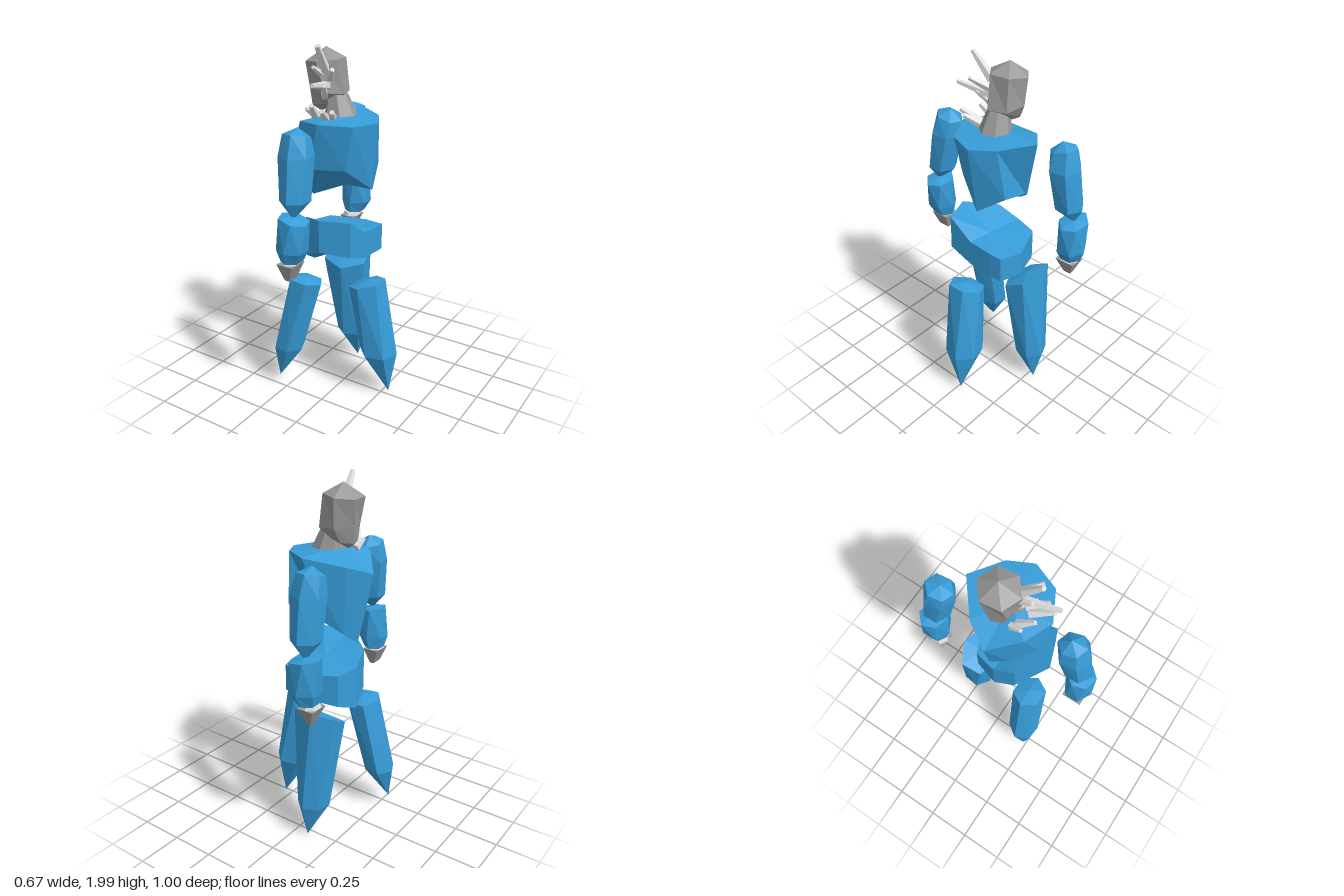
import * as THREE from 'three';

const flat = (name, color) => {
  const m = new THREE.MeshStandardMaterial({ color, flatShading: true });
  m.name = name;
  return m;
};

// Faceted solid: rings run top to bottom, each ordered from +x towards +z, closed by two centre points
function loft(rings, top, bottom) {
  const pos = [];
  const n = rings[0].length;
  const tri = (...pts) => pts.forEach((p) => pos.push(...p));
  for (let k = 0; k < n; k++) {
    const m = (k + 1) % n;
    tri(top, rings[0][m], rings[0][k]);
    for (let r = 0; r + 1 < rings.length; r++) {
      const a = rings[r], b = rings[r + 1];
      tri(a[k], a[m], b[k]);
      tri(a[m], b[m], b[k]);
    }
    const last = rings[rings.length - 1];
    tri(bottom, last[k], last[m]);
  }
  const g = new THREE.BufferGeometry();
  g.setAttribute('position', new THREE.Float32BufferAttribute(pos, 3));
  g.computeVertexNormals();
  return g;
}

// Regular ring with optional tilt of its height along x and z
function ring(n, [x, y, z], rx, rz, phase = 0, tiltX = 0, tiltZ = 0) {
  return Array.from({ length: n }, (_, i) => {
    const a = phase + (i / n) * Math.PI * 2;
    const dx = Math.cos(a) * rx, dz = Math.sin(a) * rz;
    return [x + dx, y + dx * tiltX + dz * tiltZ, z + dz];
  });
}

export function createModel() {
  const model = new THREE.Group();
  model.name = 'floatingGolem';
  const blue = flat('blueStone', 0x379dd9);
  const grey = flat('greyStone', 0x9b9a9a);
  const pale = flat('paleCrystal', 0xe0e0e0);
  const add = (name, geometry, material) => {
    const mesh = new THREE.Mesh(geometry, material);
    mesh.name = name;
    model.add(mesh);
    return mesh;
  };

  // Chest: irregular eight-sided block with a hollowed underside
  const chestTop = [
    [0.19, 1.6, -0.02], [0.13, 1.6, 0.13], [-0.03, 1.61, 0.215], [-0.18, 1.6, 0.15],
    [-0.3, 1.52, 0], [-0.22, 1.57, -0.13], [-0.05, 1.62, -0.265], [0.12, 1.61, -0.15],
  ];
  const chestBottom = [
    [0.15, 1.23, -0.04], [0.08, 1.36, 0.12], [-0.1, 1.36, 0.19], [-0.2, 1.25, 0.08],
    [-0.23, 1.14, -0.03], [-0.19, 1.2, -0.1], [-0.09, 1.28, -0.17], [0.1, 1.34, -0.19],
  ];
  add('chest', loft([chestTop, chestBottom], [-0.06, 1.63, 0], [0, 1.24, -0.02]), blue);

  // Pelvis: saddle-shaped block, columns as x, z, top y, bottom y
  const columns = [
    [0.14, 0.02, 1.0, 0.85], [0.14, 0.165, 1.1, 0.9], [-0.02, 0.225, 1.1, 0.92],
    [-0.19, 0.1, 1.05, 0.82], [-0.22, -0.02, 0.99, 0.75], [-0.19, -0.15, 0.98, 0.8],
    [0, -0.225, 0.97, 0.83], [0.13, -0.19, 0.98, 0.83], [0.14, -0.12, 0.99, 0.84],
  ];
  add('pelvis', loft(
    [columns.map(([x, z, t]) => [x, t, z]), columns.map(([x, z, , b]) => [x, b, z])],
    [0, 1.0, 0], [-0.02, 0.85, -0.01],
  ), blue);

  // Three spindle legs: top ring, thick lower ring, pointed foot
  const legs = [
    { name: 'leftLeg', top: [0.165, 0.71, 0.03], low: [0.23, 0.28, 0], tip: [0.29, 0.02, -0.02],
      rx: 0.1, rz: 0.105, rl: 0.108, phase: 0.55, twist: 0.25, tx: 0.3, tz: 0 },
    { name: 'rightLeg', top: [-0.145, 0.71, 0.175], low: [-0.25, 0.27, 0.205], tip: [-0.3, 0.07, 0.24],
      rx: 0.1, rz: 0.095, rl: 0.09, phase: 0.0, twist: 0.1, tx: -0.1, tz: 0.15 },
    { name: 'backLeg', top: [-0.1, 0.745, -0.19], low: [-0.095, 0.21, -0.245], tip: [-0.08, 0.01, -0.285],
      rx: 0.15, rz: 0.11, rl: 0.092, phase: 0.4, twist: 0.25, tx: 0, tz: -0.5 },
  ];
  for (const { name, top, low, tip, rx, rz, rl, phase, twist, tx, tz } of legs) {
    const cap = [top[0], top[1] + 0.02, top[2]];
    const rings = [ring(6, top, rx, rz, phase, tx, tz), ring(6, low, rl, rl, phase + twist)];
    add(name, loft(rings, cap, tip), blue);
  }

  // Arms: upper spindle, forearm block and wedge hand, one on each end of z
  const arms = [
    { name: 'front', s: 1, ux: -0.06, ex: -0.035, wx: -0.05, rf: 0.085,
      hand: [-0.065, 0.925, 0.42], handDepth: 0.05 },
    { name: 'back', s: -1, ux: -0.165, ex: -0.185, wx: -0.18, rf: 0.09,
      hand: [-0.2, 0.91, -0.4], handDepth: 0.03 },
  ];
  for (const { name, s, ux, ex, wx, rf, hand, handDepth } of arms) {
    const [hx, hy, hz] = hand;
    add(name + 'UpperArm', loft([
      ring(6, [ux, 1.58, s * 0.345], 0.07, 0.075, 0.3, 0, s * 0.25),
      ring(6, [ux + 0.005, 1.48, s * 0.36], 0.093, 0.09, 0.4),
      ring(6, [(ux + ex) / 2 + 0.005, 1.26, s * 0.395], 0.08, 0.08, 0.5),
    ], [ux, 1.62, s * 0.335], [ex, 1.17, s * 0.425]), blue);

    add(name + 'Forearm', loft([
      ring(6, [ex, 1.17, s * 0.42], rf, 0.078, 0.2, -0.2, 0),
      ring(6, [wx, 1.0, s * 0.422], rf, 0.08, 0.5),
      ring(6, [wx - 0.01, 0.935, s * 0.415], 0.058, 0.06, 0.5),
    ], [ex, 1.19, s * 0.42], [wx - 0.01, 0.93, s * 0.415]), blue);

    add(name + 'Wrist', loft([
      ring(6, [hx, hy + 0.02, hz], 0.045, 0.05, 0.5),
      ring(6, [hx, hy, hz], 0.052, 0.056, 0.5),
    ], [hx, hy + 0.02, hz], [hx, hy, hz]), pale);

    add(name + 'Hand', loft([
      ring(4, hand, 0.068, 0.08, Math.PI / 4),
      ring(4, [hx, hy - 0.09, hz], 0.018, handDepth, Math.PI / 4),
    ], hand, [hx, hy - 0.1, hz - 0.01]), grey);
  }

  // Neck: flared stub under the head
  add('neck', loft([
    ring(7, [-0.05, 1.73, -0.01], 0.055, 0.055, 0.2),
    ring(7, [-0.03, 1.625, -0.01], 0.09, 0.085, 0.2),
  ], [-0.05, 1.73, -0.01], [-0.03, 1.625, -0.01]), grey);

  // Head: six-sided boulder with a pointed crown and chin
  add('head', loft([
    ring(6, [-0.125, 1.9, -0.015], 0.105, 0.11, 0.4, 0.1, 0),
    ring(6, [-0.1, 1.745, -0.015], 0.11, 0.1, 0.25, -0.1, 0),
    ring(6, [-0.125, 1.675, -0.01], 0.075, 0.065, 0.25, 0.15, 0),
  ], [-0.125, 1.965, -0.02], [-0.145, 1.63, 0]), grey);

  // Crystal spikes: tapered sticks from a base to a tip
  const spike = (name, base, tip, r) => {
    const a = new THREE.Vector3(...base), b = new THREE.Vector3(...tip);
    const dir = b.clone().sub(a);
    const mesh = add(name, new THREE.CylinderGeometry(r * 0.5, r, dir.length(), 5), pale);
    mesh.position.copy(a).add(b).multiplyScalar(0.5);
    mesh.quaternion.setFromUnitVectors(new THREE.Vector3(0, 1, 0), dir.normalize());
  };
  [
    [[-0.08, 1.86, 0.06], [-0.055, 1.99, 0.165], 0.028],
    [[-0.07, 1.78, 0.06], [-0.03, 1.81, 0.25], 0.024],
    [[-0.06, 1.82, 0.05], [0.01, 1.875, 0.13], 0.024],
    [[-0.1, 1.83, 0.06], [-0.1, 1.88, 0.14], 0.022],
    [[-0.09, 1.72, 0.05], [-0.04, 1.79, 0.13], 0.022],
  ].forEach(([a, b, r], i) => spike('faceSpike' + (i + 1), a, b, r));
  [
    [[-0.03, 1.62, 0.07], [0.025, 1.67, 0.16], 0.026],
    [[-0.05, 1.62, 0.1], [-0.005, 1.68, 0.21], 0.026],
    [[-0.13, 1.62, 0.08], [-0.1, 1.69, 0.16], 0.026],
    [[-0.15, 1.62, 0.06], [-0.16, 1.66, 0.12], 0.022],
  ].forEach(([a, b, r], i) => spike('collarSpike' + (i + 1), a, b, r));

  return model;
}
